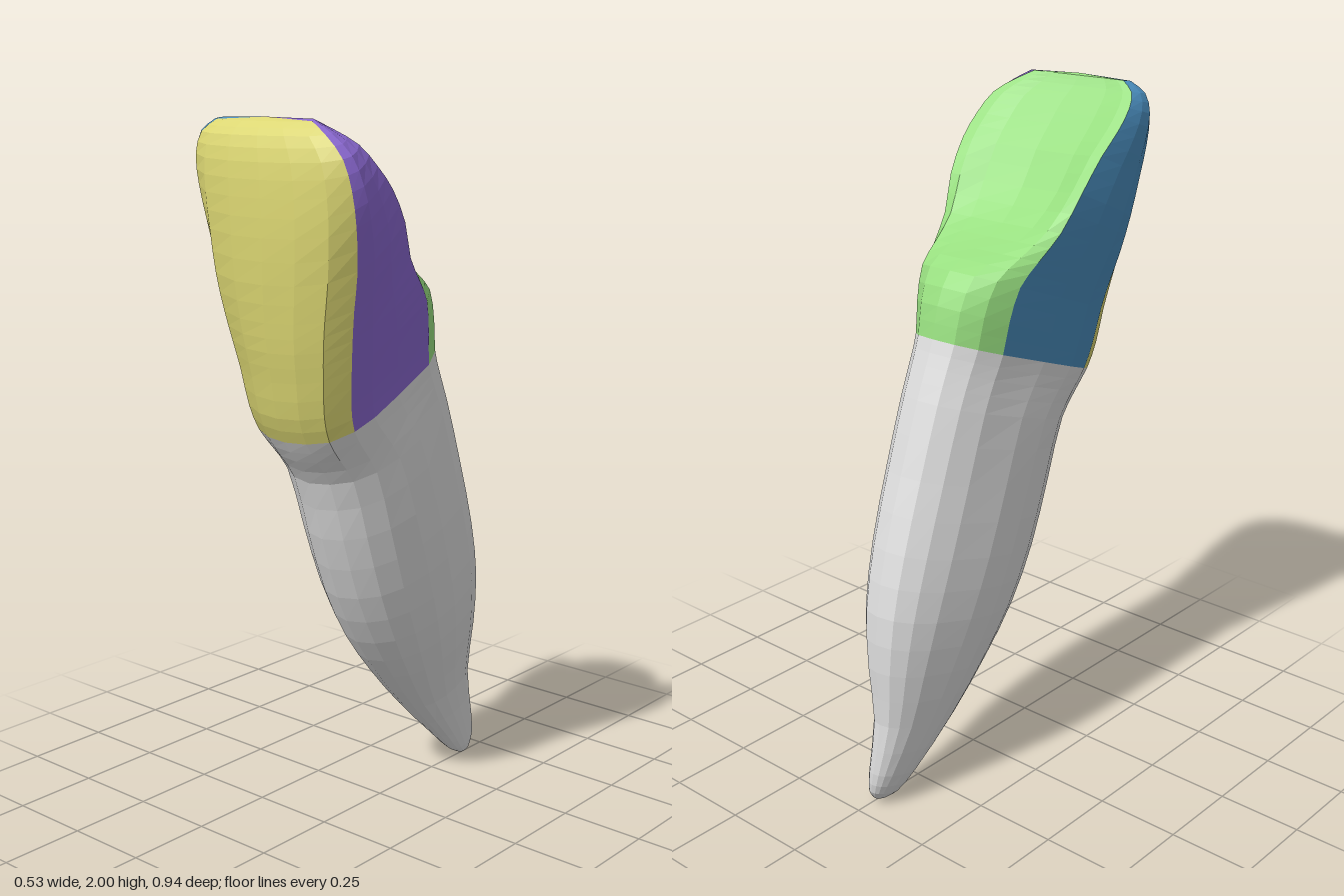
import * as THREE from 'three';

// Half cross-sections from front middle to back middle:
// [share of half width, share of depth from front to back]
const ROOT = [[0, 0], [.38, .03], [.7, .1], [.9, .21], [1, .38], [.98, .55], [.82, .78], [.62, .9], [.35, .975], [0, 1]];
const NECK = [[0, 0], [.4, .015], [.75, .06], [.95, .17], [1, .3], [.95, .5], [.84, .78], [.66, .9], [.38, .975], [0, 1]];
const EDGE = [[0, 0], [.4, .02], [.75, .1], [.95, .28], [1, .45], [.97, .7], [.89, .98], [.76, .98], [.5, .9], [0, .87]];

// Tilted rings from tip to biting edge:
// front z, front y, back z, back y, min x, max x, blend (-1 root, 0 neck, 1 edge)
const RINGS = [
  [-.39, .003, -.44, .015, -.02, .012, -1],
  [-.36, .02, -.463, .05, -.045, .018, -1],
  [-.30, .08, -.468, .12, -.075, .025, -1],
  [-.16, .22, -.45, .28, -.115, .045, -1],
  [-.03, .36, -.455, .45, -.146, .09, -1],
  [.08, .5, -.445, .62, -.17, .128, -1],
  [.17, .66, -.40, .8, -.18, .152, -1],
  [.24, .85, -.33, 1.0, -.18, .163, -.9],
  [.29, 1.02, -.26, 1.2, -.18, .162, -.6],
  [.34, 1.09, -.225, 1.29, -.18, .16, -.3],
  [.38, 1.15, -.20, 1.36, -.185, .162, 0],
  [.41, 1.22, -.185, 1.45, -.195, .172, .05],
  [.43, 1.32, -.14, 1.54, -.207, .19, .15],
  [.445, 1.40, -.05, 1.585, -.22, .205, .4],
  [.455, 1.48, .05, 1.64, -.235, .222, .7],
  [.465, 1.58, .13, 1.73, -.25, .245, 1],
  [.47, 1.70, .2, 1.82, -.26, .262, 1],
  [.468, 1.80, .26, 1.88, -.268, .262, 1],
  [.46, 1.89, .31, 1.935, -.268, .24, 1],
  [.44, 1.955, .345, 1.972, -.25, .18, 1],
  [.41, 1.99, .365, 1.997, -.21, .12, 1],
];
const HALF = ROOT.length - 1;
const AROUND = HALF * 2;
const NECK_ROW = 20; // row where root meets crown, after doubling the rows

// One point on a ring; column runs front, +x side, back, -x side
function ringPoint([fz, fy, bz, by, x0, x1, k], column) {
  const mirrored = column > HALF;
  const m = mirrored ? AROUND - column : column;
  const target = k < 0 ? ROOT : EDGE;
  const s = THREE.MathUtils.lerp(NECK[m][0], target[m][0], Math.abs(k));
  const t = THREE.MathUtils.lerp(NECK[m][1], target[m][1], Math.abs(k));
  const half = (x1 - x0) / 2;
  const x = (x0 + x1) / 2 + half * (mirrored ? -s : s) - .12 * half * t;
  const twist = .08 * Math.max(k, 0) * x;
  return new THREE.Vector3(x, fy + (by - fy) * t, fz + (bz - fz) * t - twist);
}

export function createModel() {
  const paint = (name, color) => Object.assign(new THREE.MeshStandardMaterial({ color }), { name });
  const parts = {
    root: { material: paint('light grey', 0xdcdcdc), points: [] },
    frontFace: { material: paint('yellow', 0xdbd672), points: [] },
    leftSide: { material: paint('purple', 0x8a68d0), points: [] },
    rightSide: { material: paint('blue', 0x4a8dbd), points: [] },
    backFace: { material: paint('green', 0x98df80), points: [] },
  };

  // Smooth curves run lengthwise through the rings
  const columns = [];
  const rows = (RINGS.length - 1) * 2;
  for (let j = 0; j < AROUND; j++) {
    columns.push(new THREE.CatmullRomCurve3(RINGS.map((r) => ringPoint(r, j))).getPoints(rows));
  }

  const partAt = (row, j) => {
    if (row < NECK_ROW) return parts.root;
    const m = j < HALF ? j : AROUND - 1 - j;
    if (m < 3) return parts.frontFace;
    if (m >= 6) return parts.backFace;
    return j < HALF ? parts.leftSide : parts.rightSide;
  };
  const centre = (row) => columns.reduce((sum, c) => sum.add(c[row]), new THREE.Vector3()).divideScalar(AROUND);
  const tip = centre(0).setY(0);
  const top = centre(rows).setY(2);

  // Skin between neighbouring curves, closed at both ends
  for (let j = 0; j < AROUND; j++) {
    const a = columns[j], b = columns[(j + 1) % AROUND];
    for (let i = 0; i < rows; i++) {
      partAt(i, j).points.push(a[i], b[i], b[i + 1], a[i], b[i + 1], a[i + 1]);
    }
    parts.root.points.push(tip, b[0], a[0]);
    partAt(rows, j).points.push(a[rows], b[rows], top);
  }

  const group = new THREE.Group();
  group.name = 'tooth';
  for (const [name, { material, points }] of Object.entries(parts)) {
    const geometry = new THREE.BufferGeometry().setFromPoints(points);
    geometry.computeVertexNormals(); // unshared corners give flat facets
    const mesh = new THREE.Mesh(geometry, material);
    mesh.name = name;
    group.add(mesh);
  }
  return group;
}
